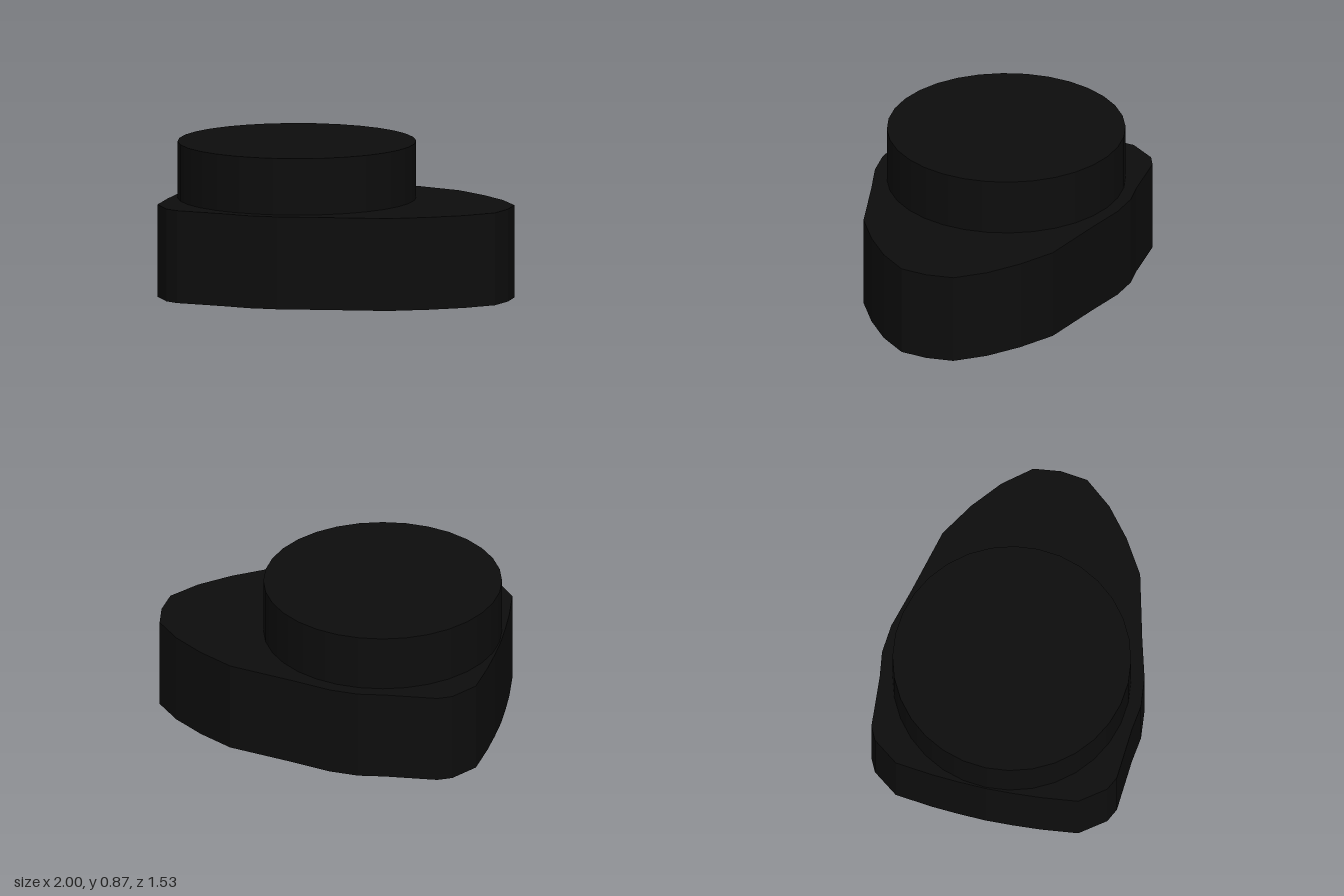
import * as THREE from 'three';

export function createModel() {
  const group = new THREE.Group();
  const material = new THREE.MeshStandardMaterial({ color: 0x0d0d0d });

  // Half outline of the base from the nose (+x) to the blunt end (-x), mirrored in z
  const half = [
    [1, 0], [0.98, 0.16], [0.85, 0.32], [0.68, 0.46], [0.48, 0.585], [0.09, 0.685],
    [-0.14, 0.75], [-0.31, 0.767], [-0.46, 0.747], [-0.77, 0.727], [-0.85, 0.688],
    [-0.96, 0.54], [-0.985, 0.32], [-0.995, 0.16], [-1, 0],
  ];
  const mirrored = half.slice(1, -1).reverse().map(([x, z]) => [x, -z]);
  const outline = [...half, ...mirrored].map(([x, z]) => new THREE.Vector2(x, z));

  const baseHeight = 0.54;
  const baseGeometry = new THREE.ExtrudeGeometry(new THREE.Shape(outline), {
    depth: baseHeight, bevelEnabled: false,
  });
  baseGeometry.rotateX(-Math.PI / 2);
  const base = new THREE.Mesh(baseGeometry, material);
  base.name = 'base';
  group.add(base);

  // Round drum standing on the blunt end
  const drumHeight = 0.33;
  const drum = new THREE.Mesh(new THREE.CylinderGeometry(0.69, 0.69, drumHeight, 32), material);
  drum.position.set(-0.303, baseHeight + drumHeight / 2, 0);
  drum.name = 'drum';
  group.add(drum);

  return group;
}
